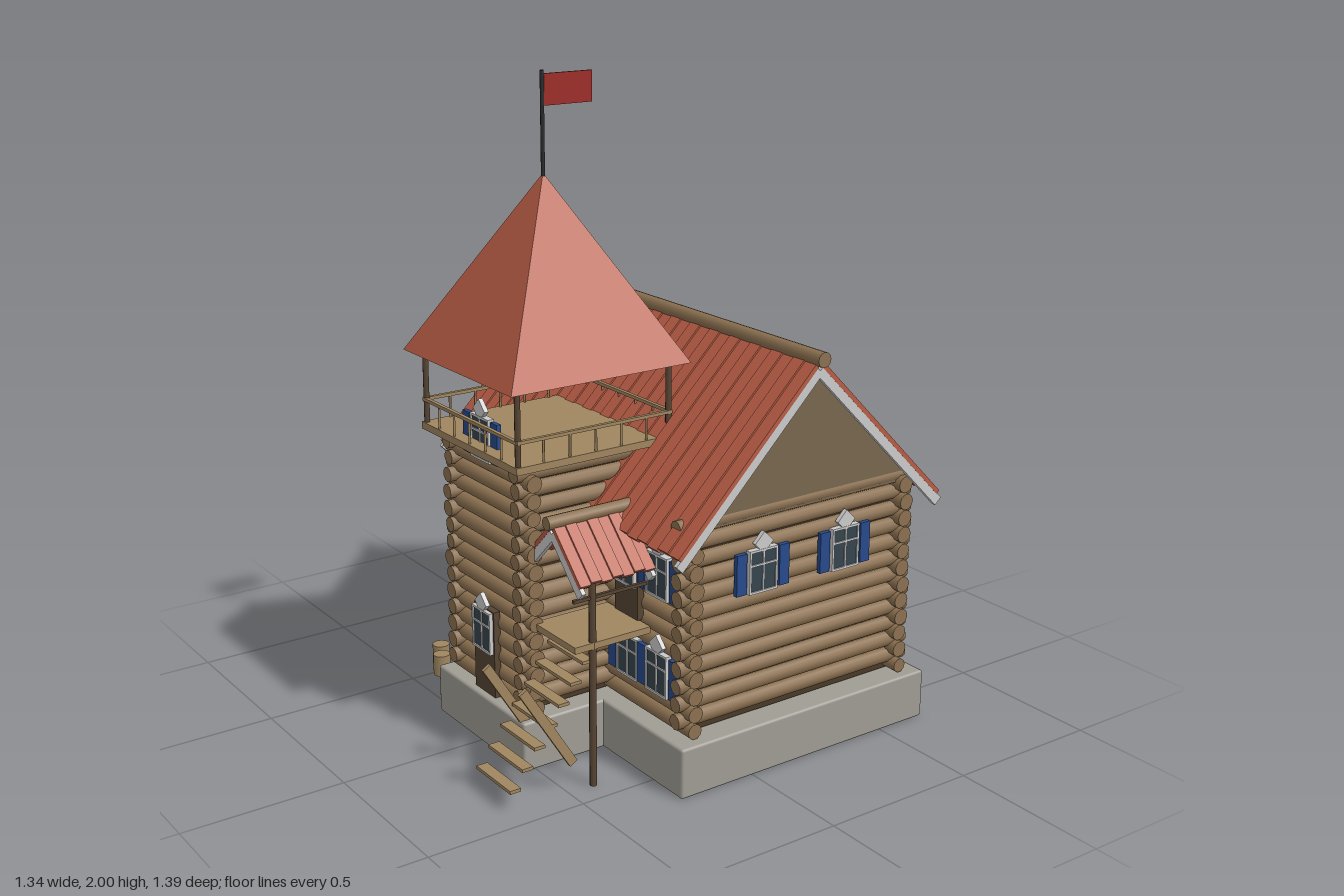
import * as THREE from 'three';
import { RoundedBoxGeometry } from 'three/addons/geometries/RoundedBoxGeometry.js';

const mat = (color) => new THREE.MeshStandardMaterial({ color });
const M = {
  stone: mat(0xa09c94), log: mat(0x8b7050), gap: mat(0x4a3a28), gable: mat(0x79674f),
  board: mat(0xa08660), dark: mat(0x574534), tile: mat(0xb75c44), trim: mat(0xcccccc),
  glass: mat(0x36454d), shutter: mat(0x274a8c), iron: mat(0x2b2b2e), flag: mat(0x9c2b26),
};

let seed = 7;
const jitter = (a) => {
  seed = (seed * 16807) % 2147483647;
  return (seed / 2147483647 - 0.5) * 2 * a;
};

function add(parent, name, geometry, material, x = 0, y = 0, z = 0) {
  const m = new THREE.Mesh(geometry, material);
  m.name = name;
  m.position.set(x, y, z);
  parent.add(m);
  return m;
}
const box = (p, name, material, w, h, d, x, y, z) =>
  add(p, name, new THREE.BoxGeometry(w, h, d), material, x, y, z);

// Round bar centred on a point, lying along 'x', 'y' or 'z'
function bar(p, name, material, r, len, axis, x, y, z, sides = 10) {
  const m = add(p, name, new THREE.CylinderGeometry(r, r, len, sides), material, x, y, z);
  if (axis === 'x') m.rotation.z = Math.PI / 2;
  if (axis === 'z') m.rotation.x = Math.PI / 2;
  return m;
}

// Flat board in the yz plane, running from (z1, y1) to (z2, y2)
function slopedBoard(p, name, material, x, w, t, z1, y1, z2, y2) {
  const m = box(p, name, material, w, t, Math.hypot(z2 - z1, y2 - y1), x, (y1 + y2) / 2, (z1 + z2) / 2);
  m.rotation.x = Math.atan2(y1 - y2, z2 - z1);
  return m;
}

function group(parent, name, x = 0, y = 0, z = 0, turn = 0) {
  const g = new THREE.Group();
  g.name = name;
  g.position.set(x, y, z);
  g.rotation.y = turn;
  parent.add(g);
  return g;
}

// Interlocking log walls; side logs sit half a log higher than the front ones
function logWalls(parent, name, hx, zBack, zFront, y0, count) {
  const g = group(parent, name), pitch = 0.0535, over = 0.042;
  const mid = (zBack + zFront) / 2, depth = zFront - zBack;
  box(g, 'wallCore', M.gap, hx * 2 - 0.015, count * pitch, depth - 0.015, 0, y0 + (count / 2 - 0.4) * pitch, mid);
  for (let i = 0; i < count; i++) {
    const y = y0 + i * pitch;
    for (const z of [zBack, zFront])
      bar(g, 'wallLog', M.log, 0.0245 + jitter(0.002), 2 * (hx + over) + jitter(0.008), 'x', 0, y, z);
    for (const x of [-hx, hx])
      bar(g, 'wallLog', M.log, 0.0245 + jitter(0.002), depth + 2 * over + jitter(0.008), 'z', x, y + pitch / 2, mid);
  }
}

// Plank roof with its ridge log along local x
function gableRoof(parent, name, { half, run, ridge, eave, planks, logR, logLen }, x, z, turn) {
  const g = group(parent, name, x, 0, z, turn), w = (half * 2) / planks;
  for (const s of [-1, 1]) {
    for (let i = 0; i < planks; i++) {
      const lift = (i % 2) * 0.006, k = 1 + jitter(0.006);
      slopedBoard(g, 'roofPlank', M.tile, -half + (i + 0.5) * w, w * 0.97, 0.014,
        0, ridge + lift, s * run * k, ridge + lift + (eave - ridge) * k);
    }
    for (const e of [-1, 1])
      slopedBoard(g, 'bargeBoard', M.trim, e * (half - 0.008), 0.014, 0.03,
        0, ridge - 0.027, s * run, eave - 0.027);
  }
  bar(g, 'ridgeLog', M.log, logR, logLen, 'x', 0, ridge + 0.008, 0, 12);
}

// Window facing local +z, with cross bars, diamond ornament and optional shutters
function windowUnit(parent, x, y, z, turn = 0, shutters = true, name = 'window') {
  const g = group(parent, name, x, y, z, turn);
  box(g, 'glass', M.glass, 0.095, 0.125, 0.014, 0, 0, 0.002);
  for (const s of [-1, 1]) {
    box(g, 'frameSide', M.trim, 0.007, 0.13, 0.022, s * 0.048, 0, 0.002);
    box(g, 'frameRail', M.trim, 0.103, 0.007, 0.022, 0, s * 0.063, 0.002);
    if (shutters) box(g, 'shutter', M.shutter, 0.036, 0.125, 0.014, s * 0.078, 0, 0.003);
  }
  box(g, 'mullion', M.trim, 0.006, 0.125, 0.02, 0, 0, 0.003);
  box(g, 'crossBar', M.trim, 0.095, 0.006, 0.02, 0, 0.02, 0.003);
  box(g, 'diamond', M.trim, 0.047, 0.047, 0.014, 0, 0.085, 0.005).rotation.z = Math.PI / 4;
}

function door(parent, x, y, z, h) {
  const g = group(parent, 'door', x, y, z);
  box(g, 'doorPanel', M.dark, 0.115, h, 0.022, 0, h / 2, 0);
  windowUnit(g, 0, h - 0.07, 0.01, 0, false, 'doorWindow');
}

export function createModel() {
  const root = new THREE.Group();
  root.name = 'logHouse';

  // Stone base
  add(root, 'foundation', new RoundedBoxGeometry(1.29, 0.155, 0.93, 1, 0.008), M.stone, 0, 0.0775, -0.205);
  add(root, 'towerFoundation', new RoundedBoxGeometry(0.5, 0.155, 0.4, 1, 0.008), M.stone, 0, 0.0775, 0.34);

  // Main house with solid gables
  logWalls(root, 'houseWalls', 0.572, -0.594, 0.19, 0.18, 12);
  const tri = new THREE.Shape([[-0.425, 0.775], [0.425, 0.775], [0, 1.2]].map((p) => new THREE.Vector2(...p)));
  const gableGeo = new THREE.ExtrudeGeometry(tri, { depth: 0.02, bevelEnabled: false });
  for (const s of [-1, 1])
    add(root, 'gable', gableGeo, M.gable, s * 0.58 - 0.01, 0, -0.203).rotation.y = Math.PI / 2;
  gableRoof(root, 'mainRoof', { half: 0.653, run: 0.485, ridge: 1.222, eave: 0.735, planks: 27, logR: 0.023, logLen: 1.34 }, 0, -0.205, 0);

  for (const s of [-1, 1]) {
    for (const x of [0.325, 0.47])
      for (const y of [0.32, 0.62])
        if (!(s > 0 && x < 0.4 && y > 0.5)) windowUnit(root, s * x, y, 0.216);
    for (const z of [-0.05, -0.36]) windowUnit(root, s * 0.6, 0.62, z, s * Math.PI / 2);
  }

  // Tower
  const tz = 0.29;
  logWalls(root, 'towerWalls', 0.19, 0.1, 0.48, 0.18, 14);
  door(root, 0, 0.157, 0.508, 0.275);
  windowUnit(root, 0, 0.96, 0.508);
  const deck = group(root, 'lookout', 0, 0, tz);
  box(deck, 'lookoutFloor', M.board, 0.54, 0.022, 0.54, 0, 0.938, 0);
  for (let side = 0; side < 4; side++) {
    const g = group(deck, 'railing', 0, 0, 0, side * Math.PI / 2);
    bar(g, 'post', M.dark, 0.009, 0.23, 'y', 0.258, 1.06, 0.258, 8);
    box(g, 'handrail', M.board, 0.53, 0.01, 0.012, 0, 1.02, 0.262);
    for (let i = -2; i <= 2; i++)
      bar(g, 'baluster', M.board, 0.004, 0.07, 'y', i * 0.088, 0.983, 0.262, 6);
  }
  const spire = new THREE.ConeGeometry(0.305 * Math.SQRT2, 0.54, 4).toNonIndexed();
  spire.rotateY(Math.PI / 4);
  spire.computeVertexNormals();
  add(root, 'towerRoof', spire, M.tile, 0, 1.44, tz);
  bar(root, 'flagPole', M.iron, 0.006, 0.32, 'y', 0, 1.84, tz, 8);
  box(root, 'flag', M.flag, 0.007, 0.09, 0.165, 0, 1.945, tz - 0.085);

  // Covered side entrance
  const porch = group(root, 'porch');
  gableRoof(porch, 'porchRoof', { half: 0.128, run: 0.142, ridge: 0.782, eave: 0.64, planks: 7, logR: 0.02, logLen: 0.29 }, 0.322, 0.355, Math.PI / 2);
  door(porch, 0.322, 0.45, 0.216, 0.235);
  box(porch, 'porchFloor', M.board, 0.22, 0.02, 0.26, 0.325, 0.44, 0.35);
  bar(porch, 'porchPost', M.dark, 0.011, 0.66, 'y', 0.425, 0.33, 0.415, 8);
  box(porch, 'porchRail', M.dark, 0.01, 0.01, 0.25, 0.425, 0.585, 0.355);

  // Stairs
  const stairs = group(root, 'stairs');
  for (let i = 0; i < 7; i++)
    box(stairs, 'tread', M.board, 0.185, 0.01, 0.036, 0.331, 0.06 + i * 0.055, 0.676 - i * 0.041);
  for (const x of [0.224, 0.42])
    slopedBoard(stairs, 'stringer', M.board, x, 0.012, 0.028, 0.647, 0.355, 0.482, 0.09);

  // Bench and chopping stumps in the yard
  const bench = group(root, 'bench', -0.307, 0, 0.34);
  box(bench, 'benchSeat', M.board, 0.115, 0.01, 0.04, 0, 0.057, 0);
  for (const s of [-1, 1]) box(bench, 'benchLeg', M.dark, 0.01, 0.053, 0.034, s * 0.036, 0.0265, 0);
  for (const [x, z] of [[-0.55, 0.365], [-0.48, 0.402]])
    bar(root, 'stump', M.board, 0.028, 0.07, 'y', x, 0.035, z, 12);

  return root;
}
